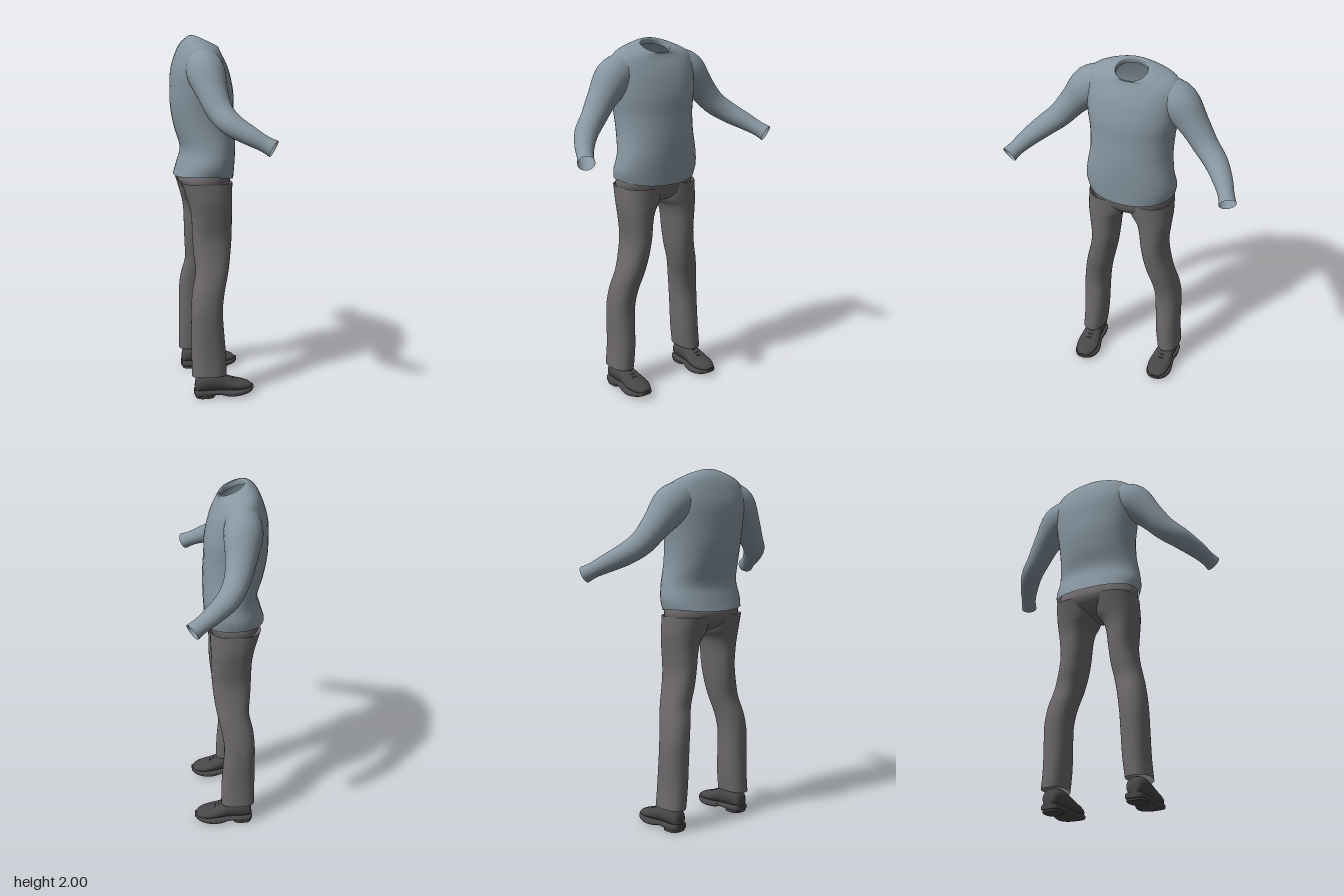
import * as THREE from 'three';

const shirt = new THREE.MeshStandardMaterial({ color: 0x8796a1, side: THREE.DoubleSide });
const trousers = new THREE.MeshStandardMaterial({ color: 0x6c686b, side: THREE.DoubleSide });
const leather = new THREE.MeshStandardMaterial({ color: 0x484648, side: THREE.DoubleSide });
shirt.name = 'shirt blue grey';
trousers.name = 'trouser grey';
leather.name = 'shoe dark grey';

const SEG = 36;

// Smoothly interpolate rows of section numbers.
function refine(rows, steps) {
  const out = [];
  const at = (i) => rows[Math.max(0, Math.min(rows.length - 1, i))];
  for (let i = 0; i < rows.length - 1; i++) {
    for (let k = 0; k < steps; k++) {
      const t = k / steps;
      out.push(rows[i].map((p1, j) => {
        const p0 = at(i - 1)[j], p2 = at(i + 1)[j], p3 = at(i + 2)[j];
        return 0.5 * (2 * p1 + (p2 - p0) * t + (2 * p0 - 5 * p1 + 4 * p2 - p3) * t * t
          + (3 * p1 - p0 - 3 * p2 + p3) * t * t * t);
      }));
    }
  }
  out.push(rows[rows.length - 1]);
  return out;
}

// Skin a list of closed rings; optionally close the two ends.
function skin(rings, capStart = false, capEnd = false) {
  const pos = rings.flat().flatMap((p) => [p.x, p.y, p.z]);
  const idx = [];
  const n = rings[0].length;
  for (let i = 0; i < rings.length - 1; i++) {
    for (let j = 0; j < n; j++) {
      const a = i * n + j, b = i * n + (j + 1) % n;
      idx.push(a, a + n, b, b, a + n, b + n);
    }
  }
  const cap = (ring, start) => {
    const base = pos.length / 3;
    const c = new THREE.Vector3();
    ring.forEach((p) => { c.addScaledVector(p, 1 / n); pos.push(p.x, p.y, p.z); });
    pos.push(c.x, c.y, c.z);
    for (let j = 0; j < n; j++) {
      const a = base + j, b = base + (j + 1) % n;
      idx.push(base + n, ...(start ? [a, b] : [b, a]));
    }
  };
  if (capStart) cap(rings[0], true);
  if (capEnd) cap(rings[rings.length - 1], false);
  const g = new THREE.BufferGeometry();
  g.setAttribute('position', new THREE.Float32BufferAttribute(pos, 3));
  g.setIndex(idx);
  g.computeVertexNormals();
  return g;
}

const power = (v, n) => Math.sign(v) * Math.pow(Math.abs(v), 2 / n);
const loop = (fn) => Array.from({ length: SEG }, (_, j) => fn((j / SEG) * Math.PI * 2));

// Level section: y, back x, front x, near z, far z, slope along x, lift at the sides.
function levelRing([y, xb, xf, z0, z1, slope = 0, lift = 0], side, n) {
  const rx = (xf - xb) / 2, rz = (z1 - z0) / 2;
  return loop((t) => {
    const dx = power(Math.cos(t), n) * rx;
    return new THREE.Vector3((xb + xf) / 2 + dx, y + slope * dx + lift * Math.sin(t) ** 2,
      (side * (z0 + z1)) / 2 + power(Math.sin(t), n) * rz);
  });
}

// Section across the shoe: x, bottom y, top y, half width, centre z.
function shoeRing([x, y0, y1, w, z], side, n) {
  return loop((t) => new THREE.Vector3(x, (y0 + y1) / 2 + power(Math.sin(t), n) * (y1 - y0) / 2,
    side * z + power(Math.cos(t), n) * w));
}

// Rings square to a path; rows hold x, y, z, horizontal radius, upright radius.
function sleeveRings(rows, side) {
  const pts = rows.map((r) => new THREE.Vector3(r[0], r[1], r[2] * side));
  return rows.map((r, i) => {
    const T = pts[Math.min(i + 1, pts.length - 1)].clone().sub(pts[Math.max(i - 1, 0)]).normalize();
    const A = T.clone().cross(new THREE.Vector3(0, 1, 0)).normalize();
    const B = A.clone().cross(T);
    return loop((t) => pts[i].clone().addScaledVector(A, Math.cos(t) * r[3]).addScaledVector(B, Math.sin(t) * r[4]));
  });
}

export function createModel() {
  const model = new THREE.Group();
  model.name = 'clothedFigure';
  const add = (name, geometry, material, parent = model) => {
    const m = new THREE.Mesh(geometry, material);
    m.name = name;
    parent.add(m);
  };

  // Shirt body, from hem to a sloping open neckline with a rolled rim
  const body = [
    [1.22, -0.22, 0.11, 0.25, -0.1, 0.022], [1.29, -0.2, 0.115, 0.26, -0.03, 0.008],
    [1.38, -0.18, 0.12, 0.247, 0, 0], [1.49, -0.212, 0.12, 0.232, 0, 0],
    [1.6, -0.233, 0.113, 0.235, 0, 0], [1.7, -0.236, 0.108, 0.25, 0, 0],
    [1.8, -0.232, 0.085, 0.262, 0, 0], [1.87, -0.212, 0.058, 0.262, -0.08, 0],
    [1.925, -0.18, 0.038, 0.235, -0.22, 0], [1.955, -0.145, 0.03, 0.16, -0.36, 0],
    [1.966, -0.118, 0.033, 0.097, -0.46, 0], [1.96, -0.108, 0.024, 0.086, -0.46, 0],
    [1.935, -0.112, 0.026, 0.088, -0.46, 0],
  ].map(([y, xb, xf, w, slope, lift]) => [y, xb, xf, -w, w, slope * 0.5, lift]);
  body.slice(-5).forEach((r) => { r[5] *= 2; });
  add('shirtBody', skin(refine(body, 4).map((r) => levelRing(r, 1, 2.2))), shirt);

  // Hips, open at the waist and closed at the crotch
  const hips = [
    [1.1, -0.06, 0.0, -0.03, 0.03], [1.115, -0.11, 0.045, -0.11, 0.11],
    [1.15, -0.165, 0.076, -0.2, 0.2], [1.2, -0.195, 0.09, -0.24, 0.24],
    [1.25, -0.185, 0.095, -0.238, 0.238], [1.3, -0.165, 0.095, -0.232, 0.232],
  ];
  add('trouserHips', skin(refine(hips, 4).map((r) => levelRing(r, 1, 2.3)), true), trousers);

  // Outlines shared by both sides
  const sleeve = refine([
    [-0.085, 1.84, 0.17, 0.09, 0.1], [-0.08, 1.8, 0.255, 0.102, 0.108],
    [-0.062, 1.7, 0.345, 0.082, 0.08], [-0.035, 1.61, 0.42, 0.068, 0.068],
    [0.012, 1.55, 0.495, 0.063, 0.06], [0.09, 1.5, 0.56, 0.052, 0.05],
    [0.155, 1.463, 0.6, 0.043, 0.042], [0.2, 1.438, 0.624, 0.046, 0.046],
  ], 4);
  const leg = refine([
    [0.125, -0.16, 0.035, 0.182, 0.316, 0, 0.006], [0.25, -0.16, 0.032, 0.168, 0.307],
    [0.4, -0.16, 0.02, 0.16, 0.306], [0.5, -0.16, 0.016, 0.154, 0.304],
    [0.6, -0.15, 0.03, 0.138, 0.29], [0.7, -0.128, 0.054, 0.112, 0.266],
    [0.8, -0.135, 0.07, 0.09, 0.24], [0.9, -0.14, 0.08, 0.076, 0.226],
    [1.0, -0.143, 0.081, 0.063, 0.235], [1.06, -0.152, 0.083, 0.045, 0.242],
    [1.11, -0.166, 0.085, 0.01, 0.246], [1.2, -0.194, 0.088, -0.005, 0.243],
  ].map((r) => [...r, 0, 0].slice(0, 7)), 4);
  const upper = refine([
    [-0.142, 0.035, 0.085, 0.022, 0.247], [-0.13, 0.03, 0.12, 0.042, 0.247],
    [-0.08, 0.03, 0.14, 0.052, 0.246], [-0.01, 0.03, 0.138, 0.054, 0.244],
    [0.03, 0.03, 0.117, 0.06, 0.242], [0.08, 0.03, 0.094, 0.067, 0.24],
    [0.13, 0.03, 0.08, 0.061, 0.239], [0.165, 0.032, 0.068, 0.043, 0.239],
    [0.183, 0.038, 0.052, 0.02, 0.239],
  ], 3);
  const sole = refine([
    [-0.146, 0.012, 0.045, 0.025, 0.247], [-0.13, 0.01, 0.045, 0.05, 0.247],
    [-0.07, 0.012, 0.042, 0.056, 0.246], [-0.01, 0.016, 0.04, 0.056, 0.244],
    [0.03, 0.006, 0.036, 0.064, 0.242], [0.08, 0.004, 0.036, 0.073, 0.24],
    [0.13, 0.009, 0.04, 0.067, 0.239], [0.17, 0.018, 0.046, 0.046, 0.239],
    [0.191, 0.03, 0.05, 0.02, 0.239],
  ], 3);
  const heel = [[0, -0.14, -0.035, 0.197, 0.297], [0.03, -0.143, -0.03, 0.195, 0.299]];

  for (const [side, label] of [[1, 'left'], [-1, 'right']]) {
    add(label + 'Sleeve', skin(sleeveRings(sleeve, side)), shirt);
    add(label + 'TrouserLeg', skin(leg.map((r) => levelRing(r, side, 2.3))), trousers);

    const shoe = new THREE.Group();
    shoe.name = label + 'Shoe';
    model.add(shoe);
    add('shoeUpper', skin(upper.map((r) => shoeRing(r, side, 2.1)), true, true), leather, shoe);
    add('shoeSole', skin(sole.map((r) => shoeRing(r, side, 4)), true, true), leather, shoe);
    add('shoeHeel', skin(heel.map((r) => levelRing(r, side, 3)), true, true), leather, shoe);

    // Laces arched over the instep
    for (const [x, y] of [[0.03, 0.112], [0.052, 0.102], [0.074, 0.093]]) {
      const path = new THREE.QuadraticBezierCurve3(
        new THREE.Vector3(x - 0.004, y - 0.006, side * 0.241 - 0.03),
        new THREE.Vector3(x, y + 0.014, side * 0.241),
        new THREE.Vector3(x - 0.004, y - 0.006, side * 0.241 + 0.03));
      add('lace', new THREE.TubeGeometry(path, 8, 0.004, 6), leather, shoe);
    }
  }
  return model;
}
